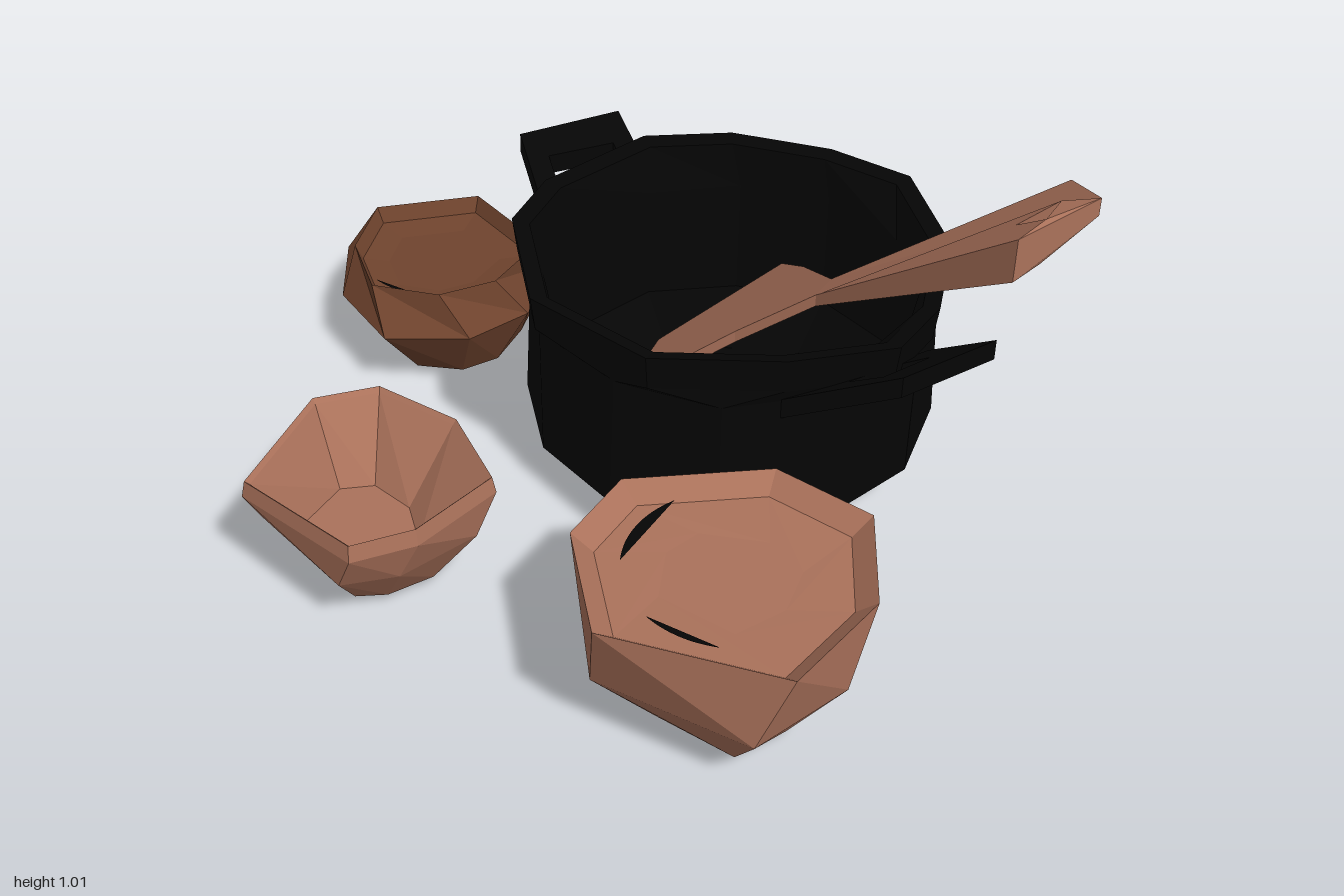
import * as THREE from 'three';

const mat = (name, color) => {
  const m = new THREE.MeshStandardMaterial({ color, flatShading: true });
  m.name = name;
  return m;
};

// Scales a plan outline [x, z] about a centre, lifts it to y and turns it slightly
function ring(outline, [cx, cz], s, y, turn = 0, dx = 0, dz = 0) {
  const c = Math.cos(turn), n = Math.sin(turn);
  return outline.map(([x, z]) => {
    const u = (x - cx) * s, v = (z - cz) * s;
    return [cx + dx + u * c - v * n, y, cz + dz + u * n + v * c];
  });
}

// Skins a stack of rings and caps both ends; outside first, then over the rim and in
function loft(rings) {
  const pos = [];
  const tri = (a, b, c) => pos.push(...a, ...b, ...c);
  const mid = r => [0, 1, 2].map(k => r.reduce((t, p) => t + p[k], 0) / r.length);
  const n = rings[0].length, last = rings[rings.length - 1];
  const low = mid(rings[0]), high = mid(last);
  for (let i = 0; i < n; i++) {
    const j = (i + 1) % n;
    for (let k = 0; k < rings.length - 1; k++) {
      const a = rings[k], b = rings[k + 1];
      tri(a[i], b[i], b[j]);
      tri(a[i], b[j], a[j]);
    }
    tri(low, rings[0][i], rings[0][j]);
    tri(high, last[j], last[i]);
  }
  const g = new THREE.BufferGeometry();
  g.setAttribute('position', new THREE.Float32BufferAttribute(pos, 3));
  g.computeVertexNormals();
  return g;
}

// Plate from a plan outline with a hole, its underside and top set by height rules
function slab(outline, hole, under, over) {
  const v = pts => pts.map(([x, z]) => new THREE.Vector2(x, -z));
  const shape = new THREE.Shape(v(outline));
  shape.holes.push(new THREE.Path(v(hole)));
  const g = new THREE.ExtrudeGeometry(shape, { depth: 1, bevelEnabled: false });
  g.rotateX(-Math.PI / 2);
  const p = g.attributes.position;
  for (let i = 0; i < p.count; i++) {
    p.setY(i, (p.getY(i) > 0.5 ? over : under)(p.getX(i), p.getZ(i)));
  }
  g.computeVertexNormals();
  return g;
}

// Thin sliver of a round surface, cut off by a chord
function sliver(x, z, r, y, angle, half) {
  const s = new THREE.Shape();
  s.absarc(x, -z, r, angle - half, angle + half, false);
  return new THREE.ShapeGeometry(s, 8).rotateX(-Math.PI / 2).translate(0, y, 0);
}

export function createModel() {
  const group = new THREE.Group();
  const iron = mat('black iron', 0x050505);
  const wood = mat('light wood', 0xab725b);
  const dark = mat('dark wood', 0x70442e);
  const add = (name, geo, m) => {
    const mesh = new THREE.Mesh(geo, m);
    mesh.name = name;
    group.add(mesh);
  };

  // Pot: six-sided base, rounder wall, uneven rim, hollow inside
  const potRim = [[0.15, -0.785], [0.37, -0.765], [0.58, -0.53], [0.66, -0.28], [0.65, -0.1],
    [0.47, 0.07], [0.21, 0.215], [-0.12, 0.155], [-0.34, -0.1], [-0.37, -0.29], [-0.28, -0.6],
    [-0.1, -0.73]];
  const potMid = [0.15, -0.29];
  const wall = (corner, side, y) => Array.from({ length: 12 }, (_, i) => {
    const a = (i * 30 - 86) * Math.PI / 180, r = i % 2 ? side : corner;
    return [0.14 + r * Math.cos(a), y, -0.3 + r * Math.sin(a)];
  });
  add('pot', loft([
    wall(0.37, 0.325, 0.005),
    wall(0.49, 0.485, 0.13),
    wall(0.475, 0.487, 0.46),
    ring(potRim, potMid, 0.98, 0.5),
    ring(potRim, potMid, 1, 0.585),
    ring(potRim, potMid, 0.92, 0.575),
    wall(0.445, 0.445, 0.46),
    wall(0.45, 0.44, 0.16),
    wall(0.34, 0.3, 0.06),
  ]), iron);

  // Pot handles
  const right = (x, z) => 0.565 - 0.75 * (x + 0.5) - 0.1 * (z + 0.39);
  add('rightHandle', slab(
    [[-0.27, -0.62], [-0.41, -0.69], [-0.51, -0.39], [-0.36, -0.27], [-0.3, -0.35]],
    [[-0.3, -0.56], [-0.37, -0.6], [-0.44, -0.41], [-0.36, -0.35]],
    right, (x, z) => right(x, z) + 0.05), iron);
  const left = (x, z) => 0.44 + 0.62 * (x - 0.63) + 0.35 * (z + 0.2);
  add('leftHandle', slab(
    [[0.45, 0.05], [0.73, 0.08], [0.82, -0.2], [0.65, -0.26], [0.6, -0.15]],
    [[0.57, -0.02], [0.66, 0.01], [0.7, -0.14], [0.64, -0.13]],
    left, (x, z) => left(x, z) + 0.05), iron);

  // Spoon leaning in the pot, its grip thickening toward the end
  const spoonTop = x => Math.min(0.25 + 0.81 * x, 1.02);
  add('spoon', slab(
    [[0.13, -0.58], [0.24, -0.47], [0.4, -0.275], [0.9, -0.285], [0.995, -0.18], [0.89, -0.03],
      [0.4, -0.2], [0.22, -0.17], [0.1, -0.12], [-0.04, -0.17], [-0.09, -0.36]],
    [[0.92, -0.09], [0.92, -0.17], [0.85, -0.13]],
    x => spoonTop(x) - (x > 0.95 ? 0.04 : 0.03 + 0.14 * Math.max(0, x - 0.4)),
    spoonTop), wood);

  // Filled bowl at front left
  const planA = [[0.5, 0.16], [0.74, 0.19], [0.86, 0.42], [0.82, 0.69], [0.43, 0.78],
    [0.24, 0.56], [0.24, 0.36]];
  const midA = [0.56, 0.47];
  add('filledBowl', loft([
    ring(planA, midA, 0.48, 0.03, 0.3, 0.02, 0.02),
    ring(planA, midA, 0.91, 0.18, 0.2),
    ring(planA, midA, 1, 0.375),
    ring(planA, midA, 0.85, 0.335),
    ring(planA, midA, 0.45, 0.33, 0.3),
  ]), wood);
  add('filledBowlBrothSide', sliver(0.56, 0.44, 0.235, 0.345, Math.PI, 0.48), iron);
  add('filledBowlBrothFront', sliver(0.56, 0.44, 0.235, 0.345, Math.PI * 1.5, 0.36), iron);

  // Hollow bowl at front right
  const planB = [[-0.46, 0.28], [-0.23, 0.29], [-0.04, 0.42], [-0.08, 0.65], [-0.17, 0.77],
    [-0.5, 0.72], [-0.565, 0.4]];
  const midB = [-0.3, 0.52];
  add('emptyBowl', loft([
    ring(planB, midB, 0.48, 0.03, 0.3, 0.01),
    ring(planB, midB, 0.87, 0.16, 0.15),
    ring(planB, midB, 1, 0.26),
    ring(planB, midB, 0.97, 0.3),
    ring(planB, midB, 0.93, 0.29),
    ring(planB, midB, 0.5, 0.13, 0.15, -0.02, 0.03),
  ]), wood);

  // Dark bowl beside the pot
  const planC = [[-0.83, -0.555], [-0.49, -0.51], [-0.42, -0.27], [-0.48, -0.1], [-0.66, 0.01],
    [-0.87, -0.09], [-1, -0.28]];
  const midC = [-0.7, -0.28];
  add('darkBowl', loft([
    ring(planC, midC, 0.56, 0.03, 0.15, 0.04),
    ring(planC, midC, 1, 0.19),
    ring(planC, midC, 0.83, 0.3, 0.25),
    ring(planC, midC, 0.76, 0.26, 0.25),
    ring(planC, midC, 0.5, 0.25, 0.25),
  ]), dark);
  add('darkBowlBroth', sliver(-0.7, -0.3, 0.21, 0.27, Math.PI * 1.5, 0.3), iron);

  return group;
}
